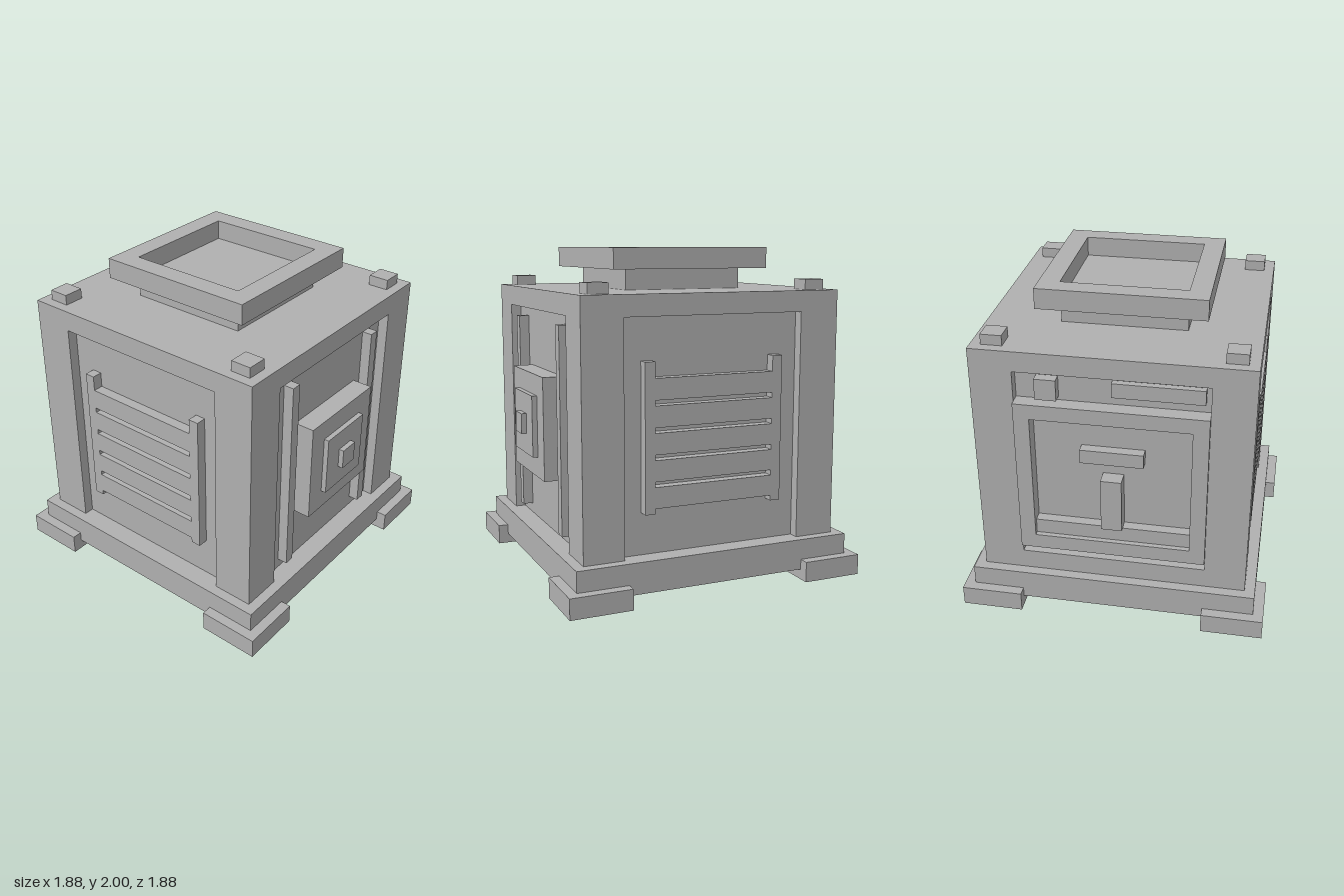
import * as THREE from 'three';

export function createModel() {
  const model = new THREE.Group();
  const grey = new THREE.MeshStandardMaterial({ color: 0xb0b0b0 });
  grey.name = 'plain grey';

  // Box given by its limits on each axis
  const box = (name, x0, x1, y0, y1, z0, z1, parent = model) => {
    const mesh = new THREE.Mesh(new THREE.BoxGeometry(x1 - x0, y1 - y0, z1 - z0), grey);
    mesh.position.set((x0 + x1) / 2, (y0 + y1) / 2, (z0 + z1) / 2);
    mesh.name = name;
    parent.add(mesh);
    return mesh;
  };

  // Rectangular ring in the xy plane, extruded along +z
  const frame = (name, w, h, iw, ih, depth) => {
    const rect = (T, a, b) => {
      const p = new T();
      p.moveTo(-a, -b);
      p.lineTo(a, -b);
      p.lineTo(a, b);
      p.lineTo(-a, b);
      p.closePath();
      return p;
    };
    const shape = rect(THREE.Shape, w / 2, h / 2);
    shape.holes.push(rect(THREE.Path, iw / 2, ih / 2));
    const geo = new THREE.ExtrudeGeometry(shape, { depth, bevelEnabled: false });
    const mesh = new THREE.Mesh(geo, grey);
    mesh.name = name;
    model.add(mesh);
    return mesh;
  };

  // Base and recessed core with a solid roof
  box('base', -0.875, 0.875, 0.0625, 0.25, -0.875, 0.875);
  box('core', -0.75, 0.75, 0.25, 1.625, -0.75, 0.75);
  box('roof', -0.8125, 0.8125, 1.625, 1.75, -0.8125, 0.8125);

  // Feet, corner pillars and roof studs
  for (const sx of [-1, 1]) {
    for (const sz of [-1, 1]) {
      const corner = (name, a, b, y0, y1) => box(name,
        Math.min(sx * a, sx * b), Math.max(sx * a, sx * b), y0, y1,
        Math.min(sz * a, sz * b), Math.max(sz * a, sz * b));
      corner('foot', 0.5625, 0.9375, 0, 0.125);
      corner('pillar', 0.5625, 0.8125, 0.25, 1.625);
      corner('roofStud', 0.625, 0.75, 1.75, 1.8125);
    }
  }

  // Open tray on a neck
  box('neck', -0.375, 0.375, 1.75, 1.88, -0.375, 0.375);
  const rim = frame('trayRim', 1, 1, 0.75, 0.75, 0.125);
  rim.rotation.x = -Math.PI / 2;
  rim.position.y = 1.875;

  // Front rails and stepped button
  for (const s of [-1, 1]) {
    box('frontRail', s * 0.40625 - 0.03125, s * 0.40625 + 0.03125, 0.3125, 1.5625, 0.75, 0.8125);
  }
  box('frontPlate', -0.3125, 0.3125, 0.625, 1.25, 0.75, 0.875);
  box('frontPad', -0.1875, 0.1875, 0.75, 1.125, 0.875, 0.90625);
  box('frontButton', -0.0625, 0.0625, 0.875, 1, 0.90625, 0.9375);

  // Slatted vents on both sides
  for (const s of [-1, 1]) {
    const vent = new THREE.Group();
    vent.name = s > 0 ? 'leftVent' : 'rightVent';
    model.add(vent);
    const x0 = s > 0 ? 0.75 : -0.8125;
    for (const z of [-0.4375, 0.375]) {
      box('ventPost', x0, x0 + 0.0625, 0.5, 1.375, z, z + 0.0625, vent);
    }
    for (let i = 0; i < 5; i++) {
      const y = 0.53125 + i * 0.15625;
      box('ventSlat', x0, x0 + 0.0625, y, y + 0.125, -0.375, 0.375, vent);
    }
  }

  // Back hatch: sill, frame, lower ledge, bar and handle
  box('backSill', -0.5625, 0.5625, 0.25, 0.375, -0.8125, -0.75);
  const hatch = frame('hatchFrame', 1.125, 1, 0.9375, 0.8125, 0.09375);
  hatch.position.set(0, 0.9375, -0.84375);
  box('hatchLedge', -0.46875, 0.46875, 0.53125, 0.625, -0.8125, -0.75);
  box('hatchBar', -0.1875, 0.1875, 1.0625, 1.15, -0.8125, -0.75);
  box('hatchHandle', -0.0625, 0.0625, 0.625, 0.96875, -0.84375, -0.75);

  // Fittings above the hatch
  box('hatchLatch', 0.3125, 0.4375, 1.46, 1.59, -0.8125, -0.75);
  box('hatchStrip', -0.53, 0, 1.5, 1.59, -0.79, -0.75);

  return model;
}
